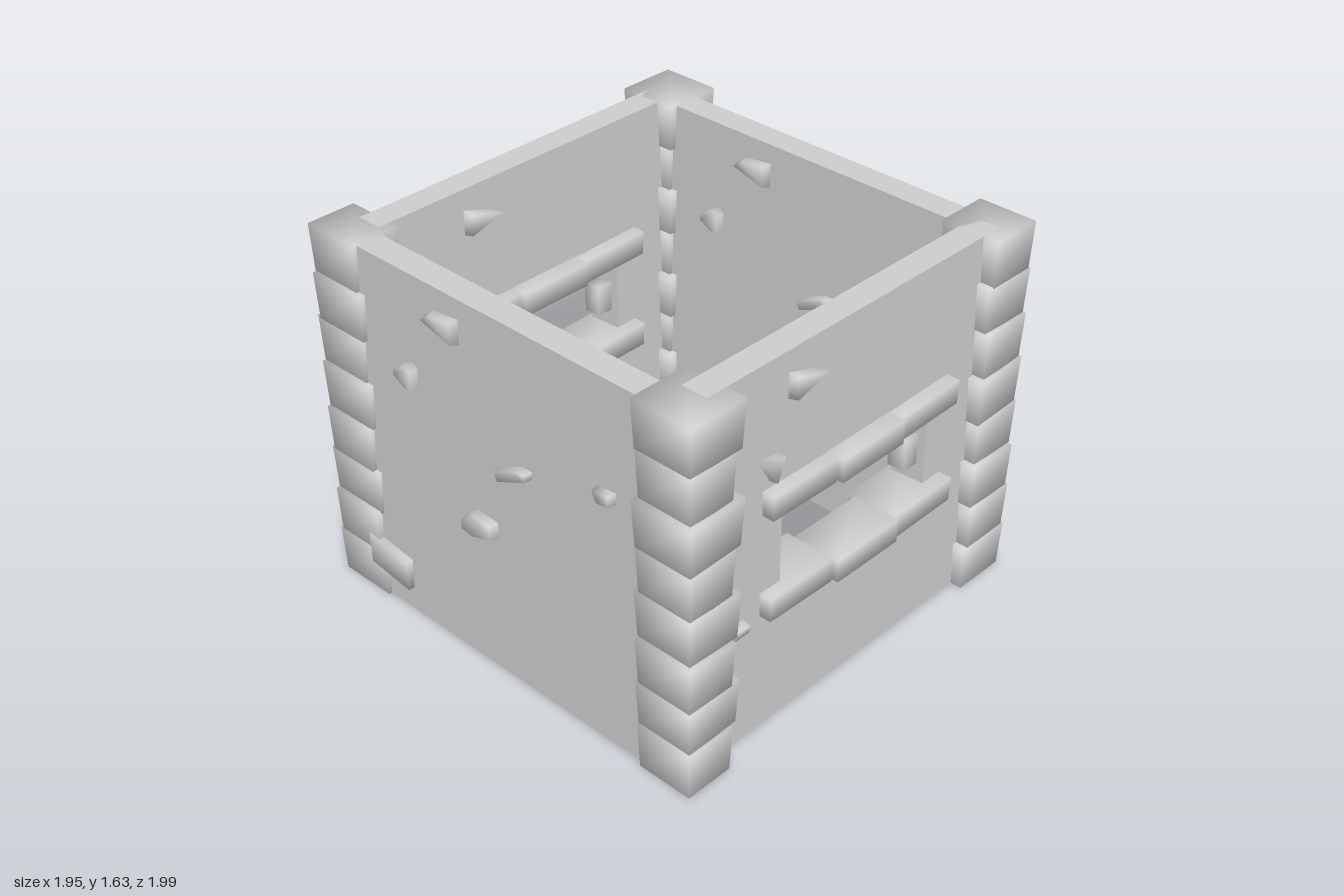
import * as THREE from 'three';
import { mergeVertices } from 'three/addons/utils/BufferGeometryUtils.js';

const mat = new THREE.MeshStandardMaterial({ color: 0xcccccc });
const H = 1.63;

// Shared corners give the stones their soft, worn shading
function soften(geo) {
  geo.deleteAttribute('uv');
  geo.deleteAttribute('normal');
  const g = mergeVertices(geo, 1e-4);
  g.computeVertexNormals();
  return g;
}

function moveVertices(geo, rule) {
  const p = geo.attributes.position, v = new THREE.Vector3();
  for (let i = 0; i < p.count; i++) {
    rule(v.fromBufferAttribute(p, i));
    p.setXYZ(i, v.x, v.y, v.z);
  }
  return geo;
}

function add(parent, name, geo) {
  const m = new THREE.Mesh(geo, mat);
  m.name = name;
  parent.add(m);
  return m;
}

function shapeOf(pts) {
  return new THREE.Shape(pts.map(([x, y]) => new THREE.Vector2(x, y)));
}

// Tapered stone that stands out of a wall from depth z0 to z1 (outer end at z1)
function stone(pts, z0, z1) {
  const cx = pts.reduce((s, p) => s + p[0], 0) / pts.length;
  const cy = pts.reduce((s, p) => s + p[1], 0) / pts.length;
  const lo = Math.min(z0, z1), hi = Math.max(z0, z1);
  const geo = new THREE.ExtrudeGeometry(shapeOf(pts), { depth: hi - lo, bevelEnabled: false });
  geo.translate(0, 0, lo);
  moveVertices(geo, (v) => {
    if (Math.abs(v.z - z1) > 1e-4) return;
    v.x = cx + (v.x - cx) * 0.72;
    v.y = cy + (v.y - cy) * 0.72;
  });
  return soften(geo);
}

// Slightly uneven block with a narrower foot
function block(x0, x1, y0, y1, z0, z1, foot, tilt) {
  const geo = new THREE.BoxGeometry(x1 - x0, y1 - y0, z1 - z0);
  moveVertices(geo, (v) => {
    if (v.y < 0) { v.x *= foot; v.z *= foot; }
    v.y += v.x * tilt;
  });
  geo.translate((x0 + x1) / 2, (y0 + y1) / 2, (z0 + z1) / 2);
  return soften(geo);
}

// Wall with a window, framed by three lintel and three sill bricks
function windowWall(name) {
  const g = new THREE.Group();
  g.name = name;
  const shape = shapeOf([[-0.8, 0], [0.8, 0], [0.8, H], [-0.8, H]]);
  shape.holes.push(new THREE.Path([[-0.4, 0.6], [-0.4, 1.04], [0.44, 1.04], [0.44, 0.6]]
    .map(([x, y]) => new THREE.Vector2(x, y))));
  const wall = new THREE.ExtrudeGeometry(shape, { depth: 0.115, bevelEnabled: false });
  // The inner right jamb leans in and bulges
  moveVertices(wall, (v) => {
    if (v.z < 0.01 && Math.abs(v.x - 0.44) < 0.01) {
      v.x = v.y > 0.8 ? 0.385 : 0.43;
      v.z = -0.03;
    }
  });
  wall.computeVertexNormals();
  add(g, 'wallPanel', wall);

  const bricks = [[-0.51, -0.16, -0.06, 0.17], [-0.16, 0.195, -0.02, 0.195], [0.195, 0.545, -0.055, 0.175]];
  for (const [y, name2] of [[0.99, 'lintelBrick'], [0.535, 'sillBrick']]) {
    bricks.forEach(([x0, x1, z0, z1], i) =>
      add(g, name2, block(x0, x1, y, y + 0.105, z0, z1, 0.98, (i - 1) * 0.02)));
  }

  const front = [
    [[-0.4, 1.42], [-0.18, 1.48], [-0.4, 1.55]],
    [[-0.47, 1.11], [-0.42, 1.24], [-0.55, 1.24]],
    [[-0.76, 0.535], [-0.58, 0.54], [-0.58, 0.58], [-0.76, 0.585]],
  ];
  const inner = [
    [[-0.36, 1.48], [-0.14, 1.41], [-0.14, 1.54]],
    [[-0.47, 1.1], [-0.41, 1.24], [-0.54, 1.24]],
    [[0.55, 0.53], [0.72, 0.53], [0.72, 0.58], [0.55, 0.58]],
    [[0.53, 1.11], [0.62, 1.12], [0.63, 1.17], [0.53, 1.17]],
    [[-0.72, 0.15], [-0.58, 0.14], [-0.54, 0.2], [-0.6, 0.26], [-0.72, 0.25]],
  ];
  front.forEach((p) => add(g, 'outerStone', stone(p, 0.05, 0.155)));
  inner.forEach((p) => add(g, 'innerStone', stone(p, 0.06, -0.045)));
  // Small stones in the window jambs
  add(g, 'jambStone', block(-0.43, -0.37, 0.89, 1.0, 0.02, 0.09, 1, 0));
  add(g, 'jambStone', block(0.36, 0.45, 0.72, 0.86, 0.0, 0.08, 1, 0));
  return g;
}

// Plain wall with a dented face and scattered stones, modelled facing +z then turned to +x
function sideWall(name, shift) {
  const g = new THREE.Group();
  g.name = name;
  const wall = new THREE.BoxGeometry(1.61, H - 0.005, 0.118, 2, 2, 1).toNonIndexed();
  moveVertices(wall, (v) => {
    const centre = Math.abs(v.x) < 0.01 && Math.abs(v.y) < 0.01;
    if (centre && v.z > 0) v.set(0.3 - shift, 0.62 - H / 2, v.z + 0.05);
    v.x += shift;
    v.y += H / 2 - 0.0025;
  });
  wall.computeVertexNormals();
  add(g, 'wallPanel', wall);

  const stones = [
    [[0.16, 1.42], [0.38, 1.48], [0.32, 1.53], [0.16, 1.55]],
    [[0.42, 1.12], [0.47, 1.12], [0.55, 1.16], [0.55, 1.2], [0.45, 1.25], [0.42, 1.23]],
    [[-0.2, 1.02], [0.0, 0.93], [0.02, 0.98], [-0.14, 1.06], [-0.2, 1.06]],
    [[0.0, 0.64], [0.14, 0.6], [0.22, 0.61], [0.22, 0.67], [0.13, 0.74], [0.0, 0.73]],
    [[-0.62, 1.12], [-0.54, 1.11], [-0.51, 1.17], [-0.62, 1.18]],
  ];
  for (const p of stones) {
    add(g, 'outerStone', stone(p, 0, 0.105));
    add(g, 'innerStone', stone(p, 0, -0.095));
  }
  add(g, 'looseBrick', block(0.56, 0.79, 0.13, 0.27, -0.09, 0.13, 0.98, 0.13));
  g.rotation.y = Math.PI / 2;
  return g;
}

// Stack of eight corner blocks, every other one a little smaller
function cornerColumn(name, [x0, x1, z0, z1], seed) {
  const g = new THREE.Group();
  g.name = name;
  const step = H / 8;
  for (let i = 0; i < 8; i++) {
    const wobble = Math.sin(i * 2.3 + seed) * 0.006;
    const cut = (i + seed) % 2 ? 0 : 0.035;
    const a = x0 < 0 ? [x0 + wobble, x1 - cut] : [x0 + cut * 0.4, x1 + wobble];
    const b = z0 < 0 ? [z0 - wobble, z1 - cut * 0.6] : [z0 + cut * 0.3, z1 - wobble];
    const end = i === 0 || i === 7;
    add(g, 'cornerBlock', block(a[0], a[1], i * step, (i + 1) * step, b[0], b[1],
      0.94, end ? 0 : Math.sin(i * 1.7 + seed) * 0.05));
  }
  return g;
}

export function createModel() {
  const model = new THREE.Group();
  model.name = 'stoneHouseWalls';

  const front = windowWall('frontWall');
  front.position.z = 0.787;
  const back = windowWall('backWall');
  back.position.z = -0.89;
  const left = sideWall('leftWall', 0.095);
  left.position.x = 0.792;
  const right = sideWall('rightWall', -0.015);
  right.position.x = -0.884;
  model.add(front, back, left, right);

  model.add(
    cornerColumn('frontRightCorner', [-0.97, -0.705, 0.715, 0.99], 0),
    cornerColumn('frontLeftCorner', [0.69, 0.945, 0.7, 0.965], 1),
    cornerColumn('backLeftCorner', [0.695, 0.965, -0.975, -0.7], 2),
    cornerColumn('backRightCorner', [-0.965, -0.71, -0.992, -0.71], 3),
  );
  return model;
}
